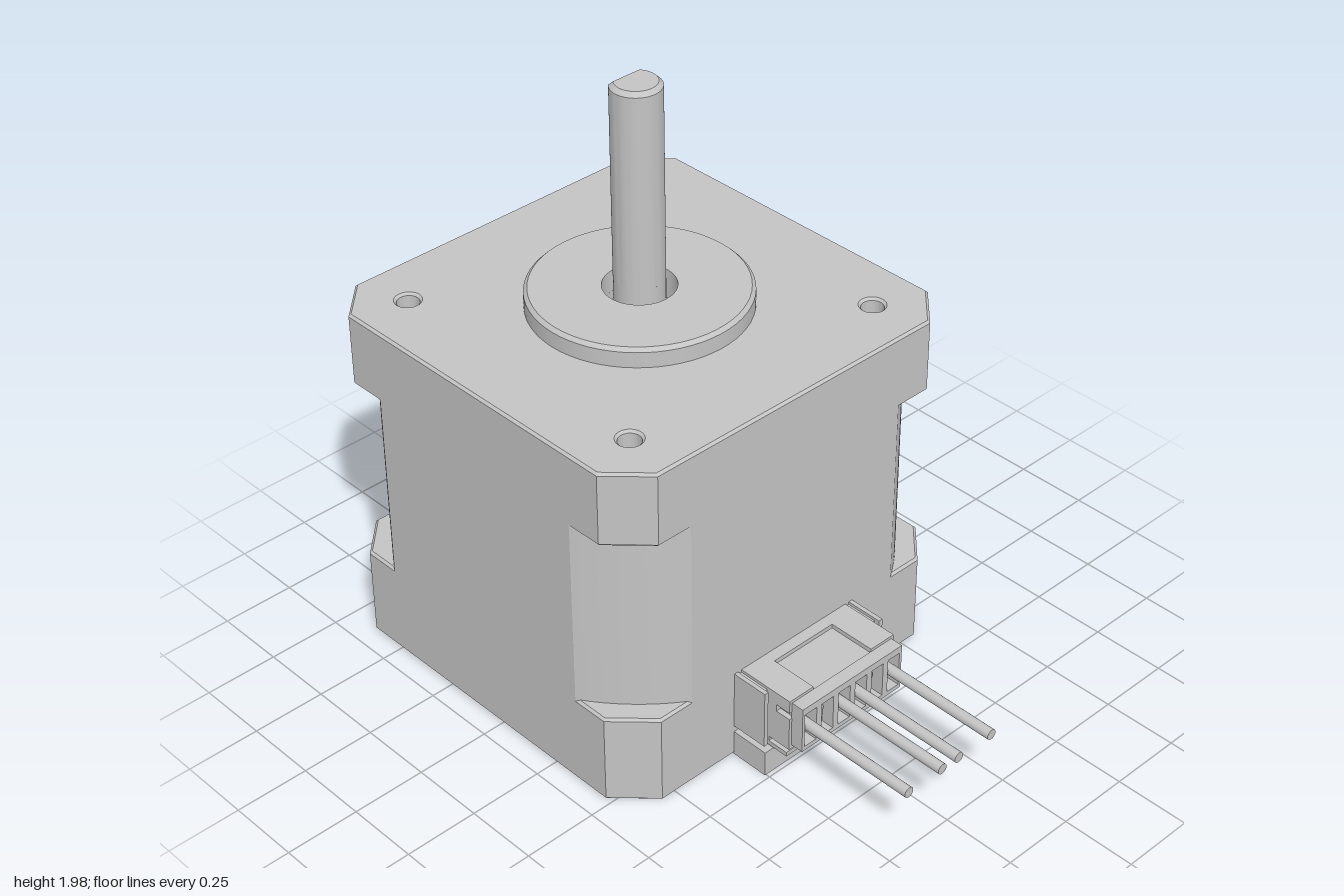
import * as THREE from 'three';
import { toCreasedNormals } from 'three/addons/utils/BufferGeometryUtils.js';

const CZ = -0.325; // motor axis
const HALF = 0.675; // half width of the square body
const BOLT = 0.495; // bolt offset from the axis

export function createModel() {
  const root = new THREE.Group();
  root.name = 'stepperMotor';
  const grey = new THREE.MeshStandardMaterial({ color: 0xc4c4c4, side: THREE.DoubleSide });
  grey.name = 'plain grey';

  const motor = new THREE.Group();
  motor.name = 'motor';
  motor.position.z = CZ;
  const connector = new THREE.Group();
  connector.name = 'connector';
  root.add(motor, connector);

  const add = (parent, name, geo, x = 0, y = 0, z = 0) => {
    const m = new THREE.Mesh(geo, grey);
    m.name = name;
    m.position.set(x, y, z);
    parent.add(m);
    return m;
  };
  // Extrude a plan shape upward from y0 to y1, with a small chamfer if asked
  const extrudeY = (shape, y0, y1, bevel = 0) => {
    const g = new THREE.ExtrudeGeometry(shape, {
      depth: y1 - y0 - 2 * bevel, curveSegments: 24, bevelEnabled: bevel > 0,
      bevelThickness: bevel, bevelSize: bevel, bevelOffset: -bevel, bevelSegments: 1,
    });
    g.rotateX(-Math.PI / 2);
    g.translate(0, y0 + bevel, 0);
    return toCreasedNormals(g, 0.5);
  };
  const lathe = (pts, seg = 48) => toCreasedNormals(
    new THREE.LatheGeometry(pts.map(p => new THREE.Vector2(...p)), seg).toNonIndexed(), 0.5);
  const box = (name, x0, x1, y0, y1, z0, z1) => add(connector, name,
    new THREE.BoxGeometry(x1 - x0, y1 - y0, z1 - z0), (x0 + x1) / 2, (y0 + y1) / 2, (z0 + z1) / 2);
  const circle = (x, y, r) => new THREE.Path().absarc(x, y, r, 0, Math.PI * 2, true);
  const corners = [[1, 1], [-1, 1], [-1, -1], [1, -1]].map(c => c.map(v => v * BOLT));

  // End caps: chamfered squares with bolt holes and a centre bore
  const capShape = (boltR, boreR) => {
    const c = HALF - 0.12;
    const s = new THREE.Shape([[HALF, -c], [HALF, c], [c, HALF], [-c, HALF],
      [-HALF, c], [-HALF, -c], [-c, -HALF], [c, -HALF]].map(p => new THREE.Vector2(...p)));
    corners.forEach(([x, y]) => s.holes.push(circle(x, y, boltR)));
    s.holes.push(circle(0, 0, boreR));
    return s;
  };
  add(motor, 'bottomCap', extrudeY(capShape(0.09, 0.1), 0, 0.32, 0.008));
  add(motor, 'topCap', extrudeY(capShape(0.036, 0.115), 0.965, 1.22, 0.008));

  // Core: square with large rounded corners
  const core = new THREE.Shape();
  const a = Math.acos(HALF / 0.8);
  for (let i = 0; i < 4; i++) {
    core.absarc(0, 0, 0.8, i * Math.PI / 2 + a, (i + 1) * Math.PI / 2 - a, false);
  }
  core.closePath();
  add(motor, 'core', extrudeY(core, 0.312, 0.973));

  // Pilot boss and bearing around the shaft
  add(motor, 'pilotBoss', lathe([[0.35, 1.21], [0.35, 1.273], [0.338, 1.285], [0.115, 1.285], [0.115, 1.15]], 64));
  add(motor, 'bearing', lathe([[0.116, 1.17], [0.1, 1.17], [0.1, 1.2], [0.09, 1.2], [0.09, 1.18], [0.07, 1.18]]));

  // Shaft with a flat on the rear side
  add(motor, 'shaftBase', new THREE.CylinderGeometry(0.08, 0.08, 0.27, 40), 0, 1.195, 0);
  const f = Math.asin(0.055 / 0.08);
  const dShape = new THREE.Shape();
  dShape.absarc(0, 0, 0.08, Math.PI - f, Math.PI * 2 + f, false);
  dShape.closePath();
  add(motor, 'shaft', extrudeY(dShape, 1.3, 1.975, 0.014));

  // Drilled bottoms of the mounting holes, and screws underneath
  const cross = new THREE.Path();
  const w = 0.012, l = 0.045;
  [[w, l], [w, w], [l, w], [l, -w], [w, -w], [w, -l], [-w, -l], [-w, -w], [-l, -w], [-l, w], [-w, w], [-w, l]]
    .forEach(([x, y], i) => (i ? cross.lineTo(x, y) : cross.moveTo(x, y)));
  cross.closePath();
  const head = new THREE.Shape().absarc(0, 0, 0.075, 0, Math.PI * 2, false);
  head.holes.push(cross);
  const headGeo = extrudeY(head, 0.02, 0.07, 0.006);
  const seatGeo = new THREE.CylinderGeometry(0.094, 0.094, 0.1, 32);
  const drillGeo = lathe([[0, 1.07], [0.042, 1.1]], 24);
  corners.forEach(([x, z]) => {
    add(motor, 'mountingHoleBottom', drillGeo, x, 0, z);
    add(motor, 'screwHead', headGeo, x, 0, z);
    add(motor, 'screwSeat', seatGeo, x, 0.11, z);
  });
  add(motor, 'rearBearing', lathe([[0.104, 0.05], [0.075, 0.05], [0.07, 0.08], [0, 0.08]]));

  // Connector mount on the front face
  box('connectorLedge', -0.255, 0.255, 0, 0.09, 0.34, 0.485);
  box('circuitBoard', -0.225, 0.225, 0.097, 0.113, 0.34, 0.545);
  box('socketFoot', -0.225, 0.225, 0.113, 0.14, 0.34, 0.47);

  // Socket shell, open at the front and notched on top
  box('socketFloor', -0.225, 0.225, 0.13, 0.145, 0.34, 0.555);
  box('socketRoofBack', -0.225, 0.225, 0.305, 0.32, 0.34, 0.39);
  for (const s of [-1, 1]) {
    const side = (name, xa, xb, ...r) => box(name, Math.min(s * xa, s * xb), Math.max(s * xa, s * xb), ...r);
    side('socketRoofSide', 0.125, 0.225, 0.305, 0.32, 0.39, 0.555);
    side('socketWallLower', 0.207, 0.225, 0.145, 0.25, 0.34, 0.555);
    side('socketWallMiddle', 0.207, 0.225, 0.25, 0.275, 0.34, 0.5);
    side('socketWallUpper', 0.207, 0.225, 0.275, 0.305, 0.34, 0.555);
    side('socketRib', 0.24, 0.255, 0.113, 0.32, 0.34, 0.48);
    side('socketRibWeb', 0.225, 0.24, 0.113, 0.31, 0.34, 0.46);
  }

  // Plug with six wire slots
  box('plugBody', -0.206, 0.206, 0.146, 0.304, 0.36, 0.555);
  const plug = new THREE.Shape([[-0.215, 0.145], [0.215, 0.145], [0.215, 0.31], [-0.215, 0.31]]
    .map(p => new THREE.Vector2(...p)));
  const slotX = [-0.18, -0.108, -0.036, 0.036, 0.108, 0.18];
  slotX.forEach(x => plug.holes.push(new THREE.Path([[x - 0.025, 0.16], [x - 0.025, 0.285],
    [x + 0.025, 0.285], [x + 0.025, 0.16]].map(p => new THREE.Vector2(...p)))));
  add(connector, 'plugFace', new THREE.ExtrudeGeometry(plug, { depth: 0.046, bevelEnabled: false }), 0, 0, 0.554);

  // Four wires; the two unused slots keep short terminals
  slotX.forEach((x, i) => {
    const wired = i !== 1 && i !== 4;
    const end = wired ? 1 : 0.565;
    const wire = add(connector, wired ? 'wire' : 'terminal',
      new THREE.CylinderGeometry(0.018, 0.018, end - 0.54, 20), x, 0.227, (end + 0.54) / 2);
    wire.rotation.x = Math.PI / 2;
  });
  return root;
}
